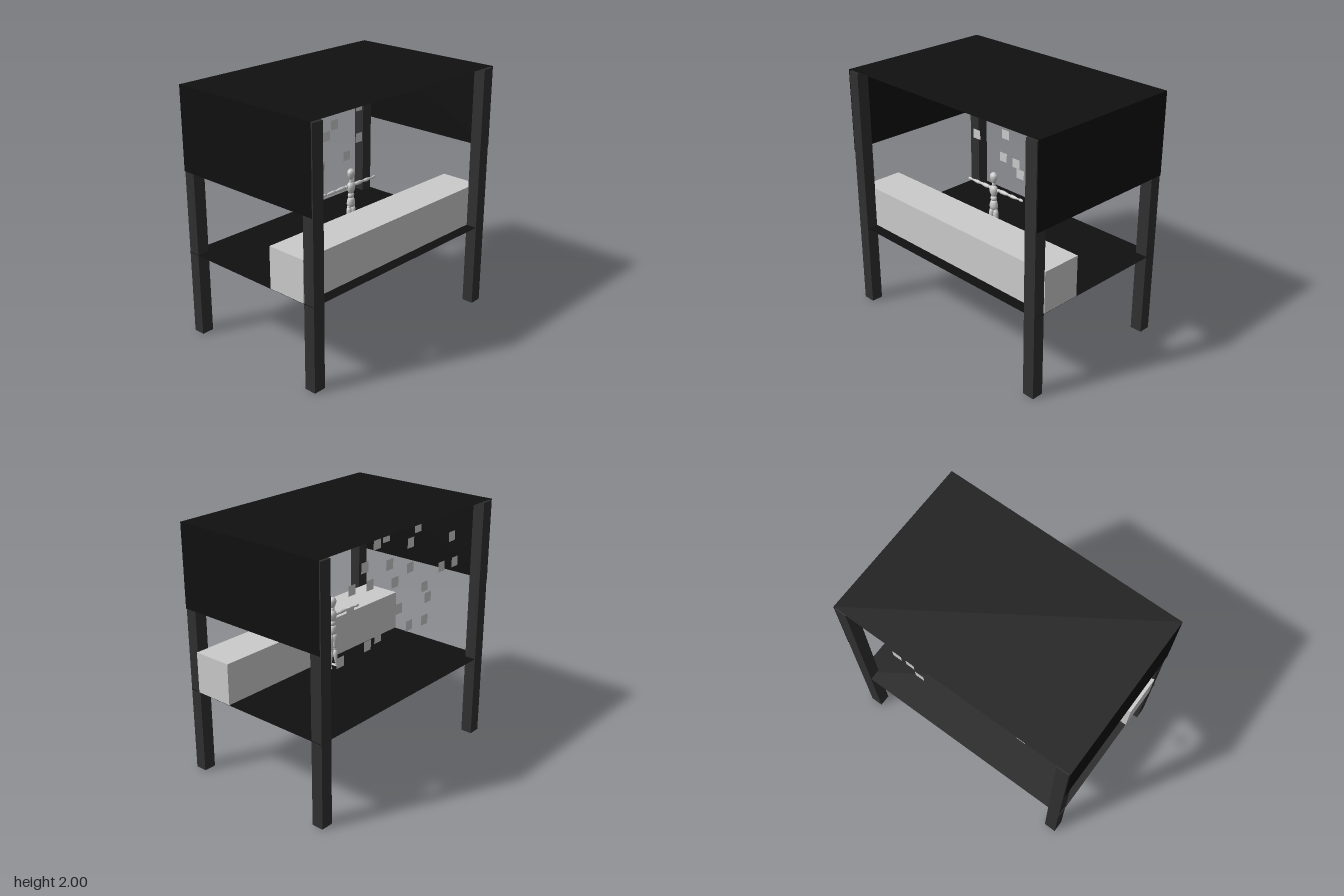
import * as THREE from 'three';

const grey = new THREE.MeshStandardMaterial({ color: 0xcccccc });
const greySheet = new THREE.MeshStandardMaterial({ color: 0xcccccc, side: THREE.DoubleSide });
const darkPost = new THREE.MeshStandardMaterial({ color: 0x303030 });
const blackSheet = new THREE.MeshStandardMaterial({ color: 0x101010, side: THREE.DoubleSide });

function add(parent, name, geometry, material, x = 0, y = 0, z = 0) {
  const mesh = new THREE.Mesh(geometry, material);
  mesh.name = name;
  mesh.position.set(x, y, z);
  parent.add(mesh);
  return mesh;
}

// Ellipsoid with the given half sizes
function ball(parent, name, x, y, z, rx, ry, rz) {
  const mesh = add(parent, name, new THREE.SphereGeometry(1, 20, 14), grey, x, y, z);
  mesh.scale.set(rx, ry, rz);
  return mesh;
}

// Turned limb between two points; radii run evenly from start to end
function limb(parent, name, from, to, radii) {
  const a = new THREE.Vector3(...from);
  const dir = new THREE.Vector3(...to).sub(a);
  const length = dir.length();
  const profile = [new THREE.Vector2(0, 0)];
  radii.forEach((r, i) => profile.push(new THREE.Vector2(r, (length * i) / (radii.length - 1))));
  profile.push(new THREE.Vector2(0, length));
  const mesh = add(parent, name, new THREE.LatheGeometry(profile, 16), grey, ...from);
  mesh.quaternion.setFromUnitVectors(new THREE.Vector3(0, 1, 0), dir.normalize());
  return mesh;
}

function createMannequin() {
  const figure = new THREE.Group();
  figure.name = 'mannequin';

  // Head and trunk
  const head = limb(figure, 'head', [0, 1.2, 0.1], [0, 1.285, 0.1],
    [0.014, 0.022, 0.028, 0.032, 0.033, 0.029, 0.012]);
  head.scale.z = 0.8;
  limb(figure, 'neck', [0, 1.165, 0.098], [0, 1.21, 0.1], [0.016, 0.013, 0.013]);
  const chest = limb(figure, 'chest', [0, 1.09, 0.1], [0, 1.178, 0.1],
    [0.02, 0.028, 0.033, 0.036, 0.036, 0.031, 0.017]);
  chest.scale.z = 0.8;
  ball(figure, 'waist', 0, 1.07, 0.1, 0.028, 0.026, 0.023);
  const pelvis = limb(figure, 'pelvis', [0, 0.98, 0.1], [0, 1.052, 0.1],
    [0.03, 0.037, 0.036, 0.032, 0.024]);
  pelvis.scale.z = 0.8;

  for (const [side, s] of [['left', 1], ['right', -1]]) {
    // Arm held straight out
    ball(figure, side + 'Shoulder', s * 0.044, 1.143, 0.09, 0.015, 0.015, 0.015);
    limb(figure, side + 'UpperArm', [s * 0.055, 1.143, 0.09], [s * 0.15, 1.143, 0.088],
      [0.01, 0.015, 0.016, 0.015, 0.012, 0.009]);
    ball(figure, side + 'Elbow', s * 0.157, 1.142, 0.088, 0.011, 0.011, 0.011);
    limb(figure, side + 'Forearm', [s * 0.163, 1.142, 0.088], [s * 0.243, 1.141, 0.086],
      [0.009, 0.014, 0.014, 0.012, 0.01, 0.007]);
    ball(figure, side + 'Wrist', s * 0.247, 1.141, 0.086, 0.008, 0.008, 0.008);
    ball(figure, side + 'Hand', s * 0.276, 1.141, 0.086, 0.025, 0.012, 0.009);

    // Leg and foot
    ball(figure, side + 'Hip', s * 0.021, 0.977, 0.1, 0.016, 0.016, 0.016);
    limb(figure, side + 'Thigh', [s * 0.021, 0.975, 0.1], [s * 0.028, 0.848, 0.102],
      [0.016, 0.021, 0.021, 0.019, 0.016, 0.012]);
    ball(figure, side + 'Knee', s * 0.029, 0.84, 0.102, 0.014, 0.014, 0.014);
    limb(figure, side + 'Shin', [s * 0.029, 0.832, 0.102], [s * 0.034, 0.715, 0.095],
      [0.012, 0.018, 0.018, 0.015, 0.012, 0.009]);
    ball(figure, side + 'Ankle', s * 0.034, 0.708, 0.095, 0.01, 0.012, 0.01);
    const foot = limb(figure, side + 'Foot', [s * 0.034, 0.694, 0.082], [s * 0.042, 0.692, 0.165],
      [0.009, 0.014, 0.015, 0.016, 0.012, 0.005]);
    foot.scale.z = 0.5;
  }
  return figure;
}

export function createModel() {
  const model = new THREE.Group();
  model.name = 'booth';

  // Corner posts and hanging side panels
  for (const sx of [-1, 1]) {
    for (const sz of [-1, 1]) {
      add(model, 'cornerPost', new THREE.BoxGeometry(0.1, 1.99, 0.095), darkPost,
        sx * 0.932, 0.995, sz * 0.617);
    }
    const panel = add(model, 'sidePanel', new THREE.PlaneGeometry(1.325, 0.66), blackSheet,
      sx * 0.99, 1.67, 0);
    panel.rotation.y = sx * Math.PI / 2;
  }

  // Thin roof and floor sheets
  for (const [name, y] of [['roof', 2], ['floor', 0.682]]) {
    const sheet = add(model, name, new THREE.PlaneGeometry(1.98, 1.325), blackSheet, 0, y, 0);
    sheet.rotation.x = -Math.PI / 2;
  }

  // Long counter
  add(model, 'counter', new THREE.BoxGeometry(1.98, 0.33, 0.33), grey, 0, 0.849, 0.407);

  // Floating square tiles: each row is a height, then x and z pairs
  const tileRows = [
    [1.9, [[-0.455, -0.335], [-0.285, -0.49], [0.06, -0.465], [0.23, -0.52], [0.405, -0.32]]],
    [1.7, [[-0.8, -0.44], [-0.455, -0.3], [0.06, -0.5], [0.23, -0.41], [0.75, -0.44]]],
    [1.5, [[-0.8, -0.475], [-0.63, -0.47], [-0.455, -0.3], [-0.11, -0.42], [0.06, -0.32],
      [0.23, -0.29], [0.575, -0.57], [0.75, -0.5]]],
    [1.3, [[-0.63, -0.315], [-0.455, -0.475], [-0.11, -0.46], [0.06, -0.4], [0.405, -0.55],
      [0.575, -0.34]]],
    [1.105, [[-0.455, -0.45], [-0.285, -0.43], [-0.11, -0.3], [0.06, -0.4], [0.23, -0.44],
      [0.575, -0.48]]],
  ];
  const tiles = new THREE.Group();
  tiles.name = 'floatingTiles';
  const square = new THREE.PlaneGeometry(0.08, 0.08);
  for (const [y, row] of tileRows) {
    for (const [x, z] of row) add(tiles, 'tile', square, greySheet, x, y, z);
  }
  model.add(tiles);

  model.add(createMannequin());
  return model;
}
